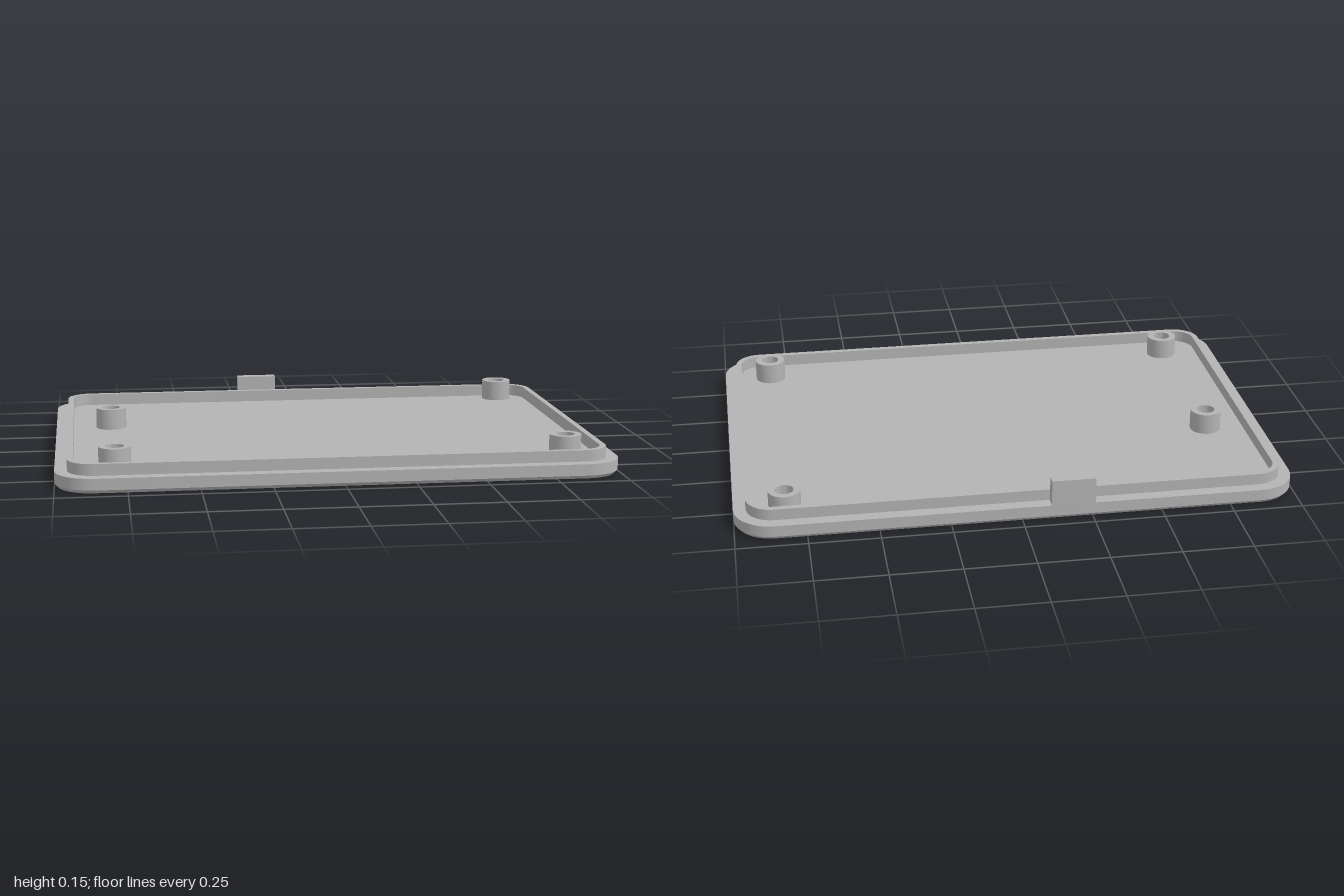
import * as THREE from 'three';
import { toCreasedNormals } from 'three/addons/utils/BufferGeometryUtils.js';

const HALF_X = 1, HALF_Z = 0.708, CORNER = 0.14;
const FLOOR = 0.05, RECESS_TOP = 0.04;
const SCREWS = [[0.82, -0.585], [-0.79, -0.18], [-0.79, 0.53], [0.82, 0.53]];

// Rounded rectangle outline, counter-clockwise, shrunk by inset
function outline(inset) {
  const r = CORNER - inset, cx = HALF_X - CORNER, cy = HALF_Z - CORNER, pts = [];
  [[1, 1], [-1, 1], [-1, -1], [1, -1]].forEach(([sx, sy], q) => {
    for (let i = 0; i <= 10; i++) {
      const a = (q + i / 10) * Math.PI / 2;
      pts.push(new THREE.Vector2(sx * cx + r * Math.cos(a), sy * cy + r * Math.sin(a)));
    }
  });
  return pts;
}

// Wall swept through [inset, height] outlines
function loft(profile) {
  const pos = [], index = [], n = outline(0).length;
  profile.forEach(([inset, y]) => outline(inset).forEach(p => pos.push(p.x, y, -p.y)));
  for (let k = 0; k < profile.length - 1; k++) {
    for (let i = 0; i < n; i++) {
      const a = k * n + i, b = k * n + (i + 1) % n;
      index.push(a, b, b + n, a, b + n, a + n);
    }
  }
  const g = new THREE.BufferGeometry();
  g.setAttribute('position', new THREE.Float32BufferAttribute(pos, 3));
  g.setIndex(index);
  return toCreasedNormals(g, 0.5);
}

function turned(points) {
  const g = new THREE.LatheGeometry(points.map(p => new THREE.Vector2(...p)), 32);
  return toCreasedNormals(g, 0.5);
}

export function createModel() {
  const model = new THREE.Group();
  model.name = 'enclosureLid';
  const grey = new THREE.MeshStandardMaterial({ color: 0xb3b3b3 });
  grey.name = 'grey plastic';
  const add = (name, geometry, x = 0, y = 0, z = 0) => {
    const mesh = new THREE.Mesh(geometry, grey);
    mesh.name = name;
    mesh.position.set(x, y, z);
    model.add(mesh);
  };

  // Chamfered rim, step and raised lip
  add('rimAndLip', loft([
    [0.01, 0], [0, 0.012], [0, 0.053], [0.044, 0.053],
    [0.044, 0.094], [0.066, 0.094], [0.066, FLOOR],
  ]));

  // Inner floor
  const floor = new THREE.ShapeGeometry(new THREE.Shape(outline(0.066)));
  add('innerFloor', floor.rotateX(-Math.PI / 2), 0, FLOOR, 0);

  // Underside with a screw recess and two small side holes at each boss
  const under = new THREE.Shape(outline(0.01));
  const boss = turned([[0.057, 0.045], [0.057, 0.127], [0.033, 0.127], [0.033, 0.055], [0, 0.055]]);
  const recess = r => turned([[0, RECESS_TOP], [r, RECESS_TOP], [r, 0]]);
  const bigRecess = recess(0.055), smallRecess = recess(0.018);
  for (const [x, z] of SCREWS) {
    add('screwBoss', boss, x, 0, z);
    for (const [dx, r, g] of [[0, 0.055, bigRecess], [-0.082, 0.018, smallRecess], [0.082, 0.018, smallRecess]]) {
      under.holes.push(new THREE.Path().absarc(x + dx, z, r, 0, Math.PI * 2, true));
      add(dx ? 'sideHole' : 'screwRecess', g, x + dx, 0, z);
    }
  }
  add('underside', new THREE.ShapeGeometry(under, 16).rotateX(Math.PI / 2));

  // Upright tab on the back edge
  add('backTab', new THREE.BoxGeometry(0.156, 0.108, 0.039), -0.18, 0.094, -HALF_Z + 0.0195);

  return model;
}
